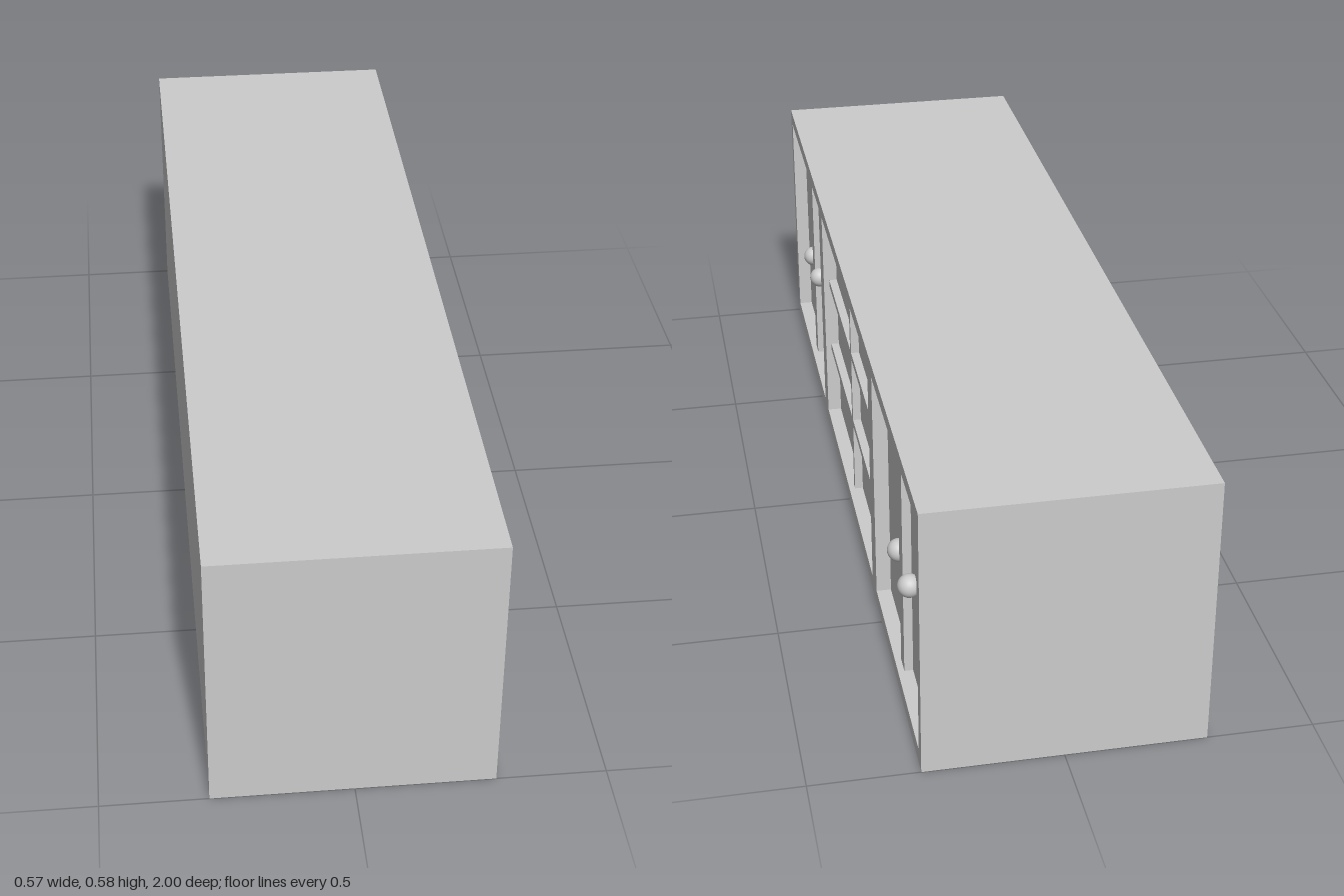
import * as THREE from 'three';

const BACK = -0.285, FRONT = 0.28, PANEL = 0.249, BAR = 0.267;
const HEIGHT = 0.58, LOW = 0.032, HIGH = 0.55;
const DOOR_IN = 0.43, DOOR_OUT = 0.973, DRAWER = 0.372;

export function createModel() {
  const group = new THREE.Group();
  const material = new THREE.MeshStandardMaterial({ color: 0xcccccc });

  const add = (name, geometry) => {
    const mesh = new THREE.Mesh(geometry, material);
    mesh.name = name;
    group.add(mesh);
    return mesh;
  };
  const box = (name, x0, x1, y0, y1, z0, z1) =>
    add(name, new THREE.BoxGeometry(x1 - x0, y1 - y0, z1 - z0))
      .position.set((x0 + x1) / 2, (y0 + y1) / 2, (z0 + z1) / 2);
  const rectangle = (Type, a0, a1, b0, b1) => new Type([
    [a0, b0], [a1, b0], [a1, b1], [a0, b1],
  ].map(([a, b]) => new THREE.Vector2(a, b)));

  // Closed body; its front forms the recessed door and drawer panels
  box('body', BACK, PANEL, 0, HEIGHT, -1, 1);

  // Face frame with three openings, facing +x
  const frame = rectangle(THREE.Shape, -1, 1, 0, HEIGHT);
  for (const [a, b] of [[-DOOR_OUT, -DOOR_IN], [-DRAWER, DRAWER], [DOOR_IN, DOOR_OUT]]) {
    frame.holes.push(rectangle(THREE.Path, a, b, LOW, HIGH));
  }
  const frameGeometry = new THREE.ExtrudeGeometry(frame, { depth: FRONT - PANEL, bevelEnabled: false });
  add('faceFrame', frameGeometry.rotateY(Math.PI / 2)).position.x = PANEL;

  // Drawer dividers: one upright and two rails
  box('drawerUpright', PANEL, BAR, LOW, HIGH, -0.008, 0.008);
  for (const y of [0.206, 0.378]) {
    for (const side of [-1, 1]) {
      const ends = [side * 0.008, side * DRAWER].sort((a, b) => a - b);
      box('drawerRail', PANEL, BAR, y - 0.008, y + 0.008, ...ends);
    }
  }

  // Each cupboard has a centre stile and a pair of round knobs
  for (const side of [-1, 1]) {
    const middle = side * 0.701;
    box('doorStile', PANEL, BAR, LOW, HIGH, middle - 0.02, middle + 0.02);
    for (const offset of [-0.064, 0.064]) {
      add('doorKnob', new THREE.SphereGeometry(0.024, 24, 16))
        .position.set(0.261, 0.268, middle + offset);
    }
  }
  return group;
}
